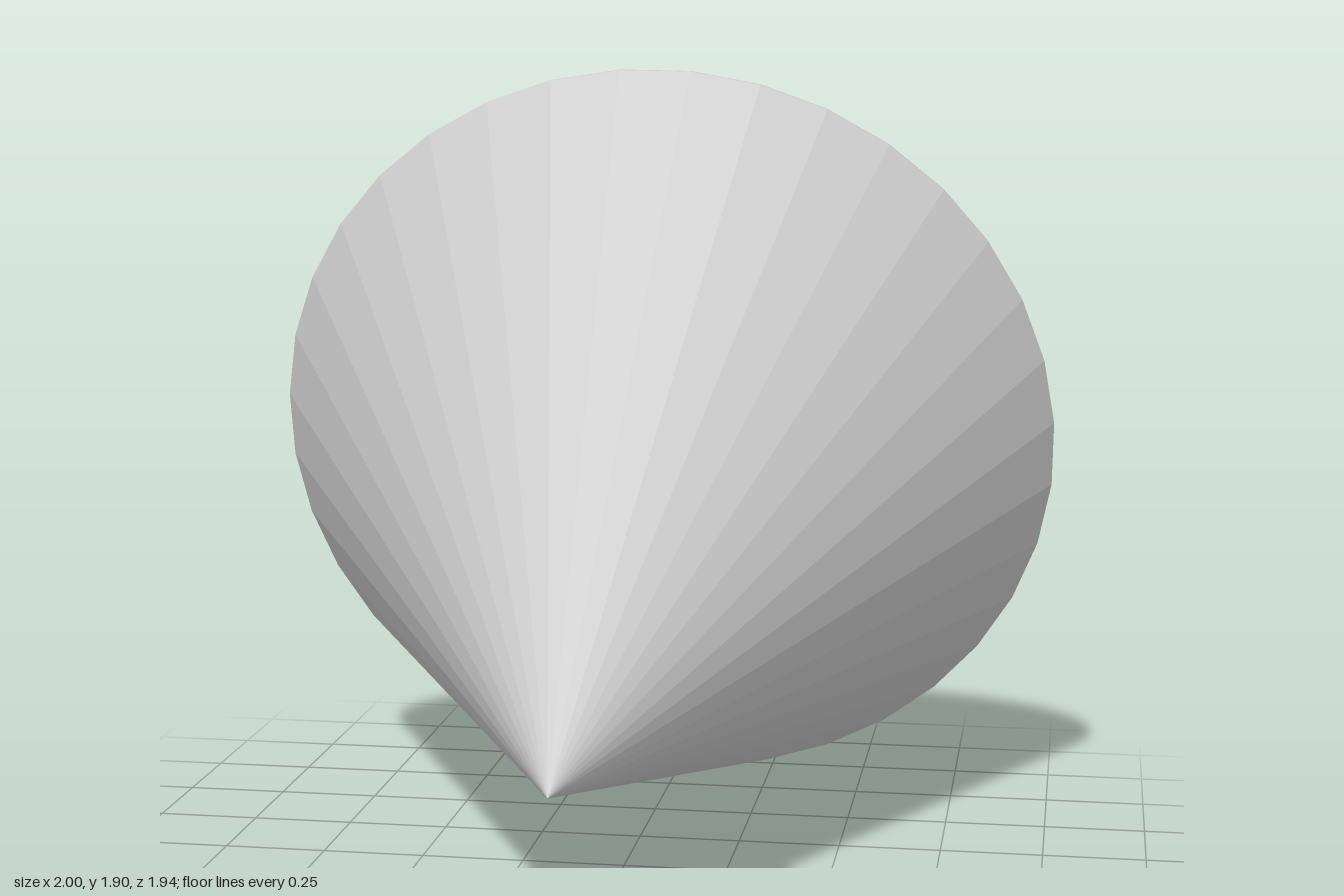
import * as THREE from 'three';

const SIDES = 36;
const deg = THREE.MathUtils.degToRad;
const START = deg(84); // puts lathe seams on the hexagon corners
const OPENING = 0.38;  // radius of the chamfer circle around the socket

const material = new THREE.MeshStandardMaterial({ color: 0xcccccc, flatShading: true });

function lathe(profile) {
  const points = profile.map(([r, h]) => new THREE.Vector2(r, h));
  return new THREE.LatheGeometry(points, SIDES, START, Math.PI * 2);
}

// Lathe whose middle rings are squeezed into a hexagon
function socketGeometry(hexRadius, depth) {
  const geo = lathe([[0, depth], [hexRadius, depth], [hexRadius, 0], [OPENING, 0]]);
  const pos = geo.attributes.position;
  for (let i = 0; i <= SIDES; i++) {
    const offset = deg((i * 360 / SIDES) % 60 - 30); // angle from the middle of a flat
    const k = Math.cos(Math.PI / 6) / Math.cos(offset);
    for (const ring of [1, 2]) {
      const v = i * 4 + ring;
      pos.setX(v, pos.getX(v) * k);
      pos.setZ(v, pos.getZ(v) * k);
    }
    pos.setY(i * 4 + 2, (OPENING - hexRadius * k) * 0.25); // shallow chamfer
  }
  geo.computeVertexNormals();
  return geo;
}

export function createModel() {
  const model = new THREE.Group();
  model.name = 'countersunkCone';

  function add(name, geo) {
    geo.rotateX(Math.PI / 2); // lathe axis to the front
    const mesh = new THREE.Mesh(geo, material);
    mesh.name = name;
    model.add(mesh);
  }

  // Flat back face, rounded rim and long cone to the tip
  add('coneBody', lathe([[OPENING, 0], [0.965, 0], [0.985, 0.006], [0.997, 0.018], [1, 0.032], [0, 1.73]]));

  // Hexagonal recess with its chamfered mouth
  add('hexSocket', socketGeometry(0.365, 0.43));

  // Lies on its side, tip tilted down to the front
  model.rotation.x = deg(17.56);
  model.position.set(0, 0.962, -0.68);

  const root = new THREE.Group();
  root.add(model);
  return root;
}
